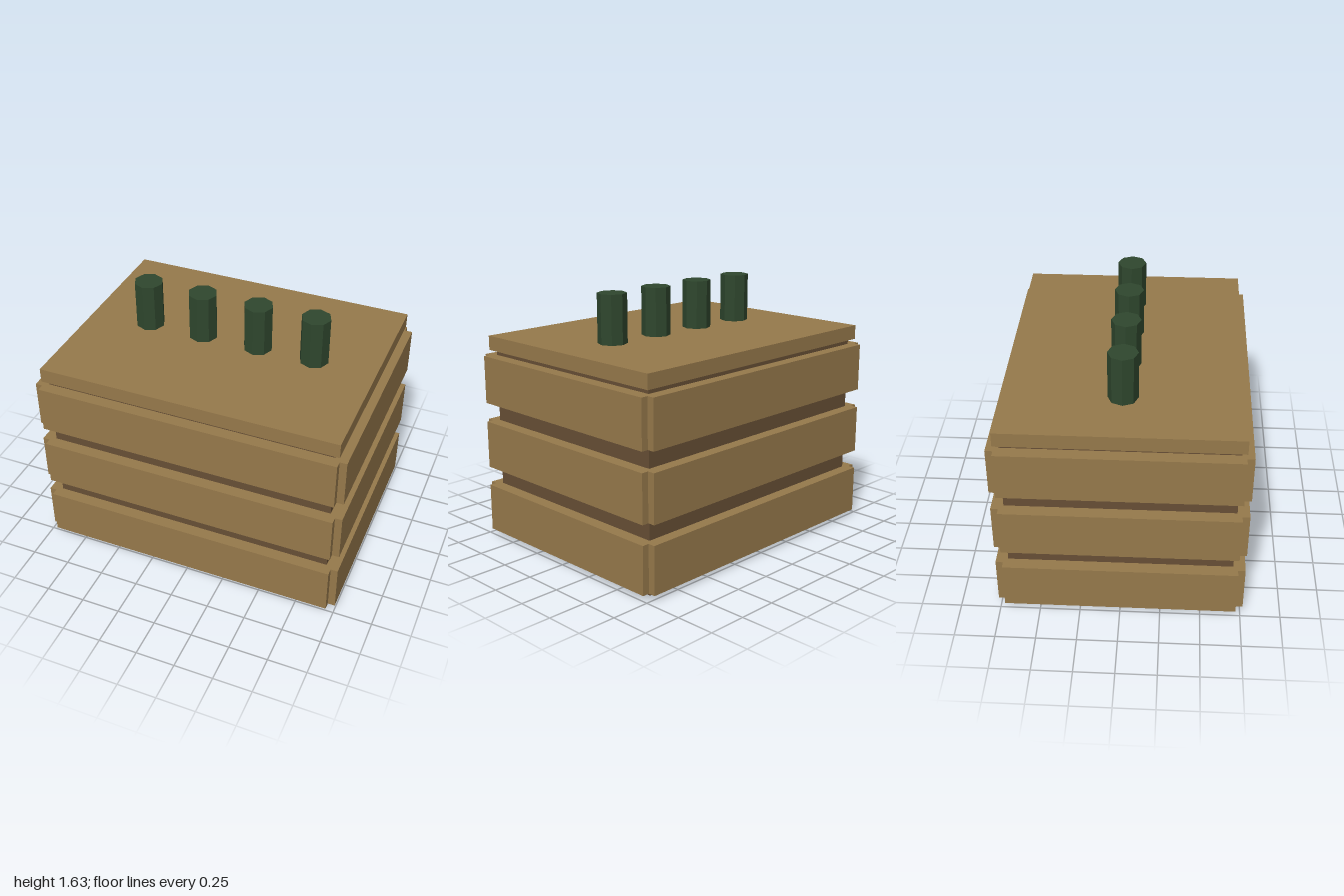
import * as THREE from 'three';

const wood = new THREE.MeshStandardMaterial({ color: 0x96794b, flatShading: true });
const darkWood = new THREE.MeshStandardMaterial({ color: 0x674f35, flatShading: true });
const glass = new THREE.MeshStandardMaterial({ color: 0x2f472e, flatShading: true });

export function createModel() {
  const crate = new THREE.Group();
  crate.name = 'bottleCrate';

  const add = (name, geometry, material, x, y, z) => {
    const mesh = new THREE.Mesh(geometry, material);
    mesh.name = name;
    mesh.position.set(x, y, z);
    crate.add(mesh);
  };

  // Dark inner box, seen between the slats
  add('innerBox', new THREE.BoxGeometry(1.84, 1.24, 1.386), darkWood, 0, 0.62, 0);

  // Three rows of slats on all four sides, leaving a small notch at each corner
  const longSlat = new THREE.BoxGeometry(1.91, 0.306, 0.092);
  const shortSlat = new THREE.BoxGeometry(0.092, 0.306, 1.442);
  for (let row = 0; row < 3; row++) {
    const y = 0.187 + row * 0.43;
    for (const side of [1, -1]) {
      add(side > 0 ? 'frontSlat' : 'backSlat', longSlat, wood, 0, y, side * 0.721);
      add(side > 0 ? 'leftSlat' : 'rightSlat', shortSlat, wood, side * 0.954, y, 0);
    }
  }

  // Lid
  add('lid', new THREE.BoxGeometry(1.91, 0.092, 1.448), wood, 0, 1.279, 0);

  // Row of octagonal bottle necks standing out of the lid
  const neck = new THREE.CylinderGeometry(0.092, 0.092, 0.335, 8);
  for (let i = 0; i < 4; i++) {
    add('bottleNeck', neck, glass, (i - 1.5) * 0.37, 1.4675, 0);
  }

  return crate;
}
